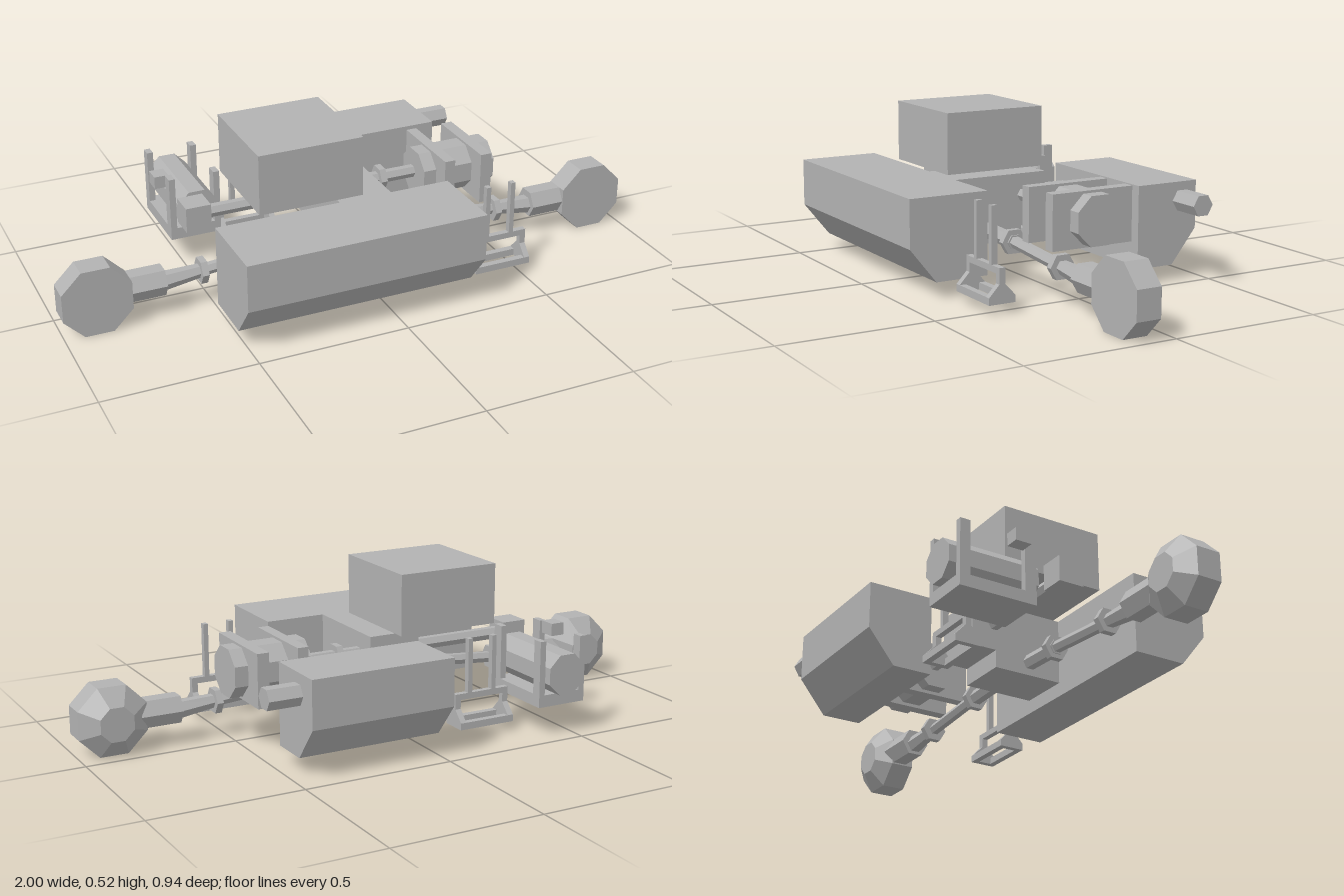
import * as THREE from 'three';

export function createModel() {
  const model = new THREE.Group();
  const grey = new THREE.MeshStandardMaterial({ color: 0xb2b2b2, flatShading: true });
  grey.name = 'plain grey';

  const add = (name, geometry, parent = model) => {
    const mesh = new THREE.Mesh(geometry, grey);
    mesh.name = name;
    parent.add(mesh);
    return mesh;
  };

  // box given by its limits on each axis
  const box = (name, [x0, x1], [y0, y1], [z0, z1], parent) => {
    const g = new THREE.BoxGeometry(x1 - x0, y1 - y0, z1 - z0);
    g.translate((x0 + x1) / 2, (y0 + y1) / 2, (z0 + z1) / 2);
    return add(name, g, parent);
  };

  // faceted rod between two points, with a radius at each end
  const rod = (name, a, b, ra, rb, sides, turn = 0, parent) => {
    const from = new THREE.Vector3(...a), to = new THREE.Vector3(...b);
    const dir = to.clone().sub(from);
    const g = new THREE.CylinderGeometry(rb, ra, dir.length(), sides);
    g.rotateY(turn);
    const mesh = add(name, g, parent);
    mesh.position.copy(from).add(to).multiplyScalar(0.5);
    mesh.quaternion.setFromUnitVectors(new THREE.Vector3(0, 1, 0), dir.normalize());
    return mesh;
  };
  const flat8 = Math.PI / 8;
  const oct = (apothem) => apothem / Math.cos(flat8);

  // side tanks: chamfered along the lower outer edge
  const tank = (name, x0, x1, side, inner) => {
    const pts = [[inner, 0.053], [0.38, 0.053], [0.47, 0.165], [0.47, 0.322], [inner, 0.322]];
    const shape = new THREE.Shape(pts.map(([z, y]) => new THREE.Vector2(-side * z, y)));
    const g = new THREE.ExtrudeGeometry(shape, { depth: x1 - x0, bevelEnabled: false });
    g.rotateY(Math.PI / 2);
    g.translate(x0, 0, 0);
    add(name, g);
  };
  tank('frontTank', -0.52, 0.285, 1, 0.2);
  tank('rearTank', -0.03, 0.46, -1, 0.247);
  rod('exhaustPipe', [0.475, 0.265, -0.405], [0.585, 0.265, -0.405], 0.037, 0.037, 6);

  // upper cabin and central gearbox
  box('cabin', [-0.365, -0.01], [0.322, 0.525], [-0.178, 0.18]);
  box('gearboxTop', [-0.1, 0.08], [0.16, 0.322], [-0.135, 0.2]);
  box('gearboxBase', [-0.1, 0.08], [0.1, 0.16], [-0.045, 0.2]);

  // octagonal motor held by two plates
  rod('motor', [0.285, 0.25, -0.042], [0.55, 0.25, -0.042], oct(0.079), oct(0.079), 8, flat8);
  for (const [x0, x1] of [[0.33, 0.367], [0.465, 0.505]])
    box('motorPlate', [x0, x1], [0.16, 0.337], [-0.19, 0.1]);

  // upper drive shaft
  rod('upperShaft', [-0.46, 0.25, -0.052], [0.285, 0.25, -0.052], 0.022, 0.022, 6);
  rod('upperShaftCollar', [0.15, 0.25, -0.052], [0.172, 0.25, -0.052], 0.043, 0.043, 6);
  box('shaftEndBlock', [-0.543, -0.458], [0.207, 0.293], [-0.097, -0.01]);

  // lower shaft halves, hubs and wheel pods
  for (const s of [-1, 1]) {
    const half = new THREE.Group();
    half.name = s > 0 ? 'leftAxle' : 'rightAxle';
    model.add(half);
    const z = 0.085;
    rod('innerShaft', [0, 0.15, z], [s * 0.26, 0.14, z], 0.026, 0.026, 6, 0, half);
    rod('middleShaft', [s * 0.24, 0.142, z], [s * 0.54, 0.118, z], 0.02, 0.02, 6, 0, half);
    rod('outerShaft', [s * 0.52, 0.12, z], [s * 0.67, 0.108, z], 0.022, 0.032, 6, 0, half);
    for (const [x, y] of [[0.245, 0.141], [0.53, 0.119]])
      rod('collar', [s * (x - 0.011), y, z], [s * (x + 0.011), y, z], 0.044, 0.044, 6, 0, half);
    rod('hub', [s * 0.66, 0.115, z], [s * 0.8, 0.115, z], 0.051, 0.051, 6, 0, half);
    const x = s * 0.888, y = 0.1125;
    rod('wheelPod', [x, y, 0.055], [x, y, 0.138], oct(0.1125), oct(0.1125), 8, flat8, half);
    rod('wheelPodTaper', [x, y, 0.012], [x, y, 0.055], oct(0.055), oct(0.1125), 8, flat8, half);
  }

  // boarding steps with a rail and two upright bars
  for (const [x, z] of [[0.43, 0.29], [-0.24, -0.293]]) {
    const step = new THREE.Group();
    step.name = 'step';
    step.position.set(x, 0, z);
    model.add(step);
    for (const s of [-1, 1]) {
      box('stepSide', [-0.1, 0.1], [0.03, 0.053], [s * 0.034 - 0.011, s * 0.034 + 0.011], step);
      box('stepEnd', [s * 0.09 - 0.01, s * 0.09 + 0.01], [0.03, 0.053], [-0.023, 0.023], step);
      // sloped end brackets
      const tri = new THREE.Shape([[-0.045, 0.053], [0.045, 0.053], [0.01, 0.09], [-0.01, 0.09]]
        .map((p) => new THREE.Vector2(...p)));
      const g = new THREE.ExtrudeGeometry(tri, { depth: 0.02, bevelEnabled: false });
      g.rotateY(Math.PI / 2);
      g.translate(s * 0.09 - 0.01, 0, 0);
      add('stepBracket', g, step);
      box('stepLeg', [s * 0.09 - 0.01, s * 0.09 + 0.01], [0.09, 0.14], [-0.01, 0.01], step);
      box('stepUpright', [s * 0.045 - 0.008, s * 0.045 + 0.008], [0.12, 0.32], [-0.01, 0.01], step);
    }
    box('stepRail', [-0.08, 0.08], [0.12, 0.14], [-0.01, 0.01], step);
  }

  // octagonal canister in a four-post cradle
  rod('canister', [-0.455, 0.207, -0.47], [-0.455, 0.207, -0.158], oct(0.066), oct(0.066), 8, flat8);
  box('cradleBase', [-0.542, -0.367], [0.1, 0.14], [-0.445, -0.18]);
  for (const [x0, x1] of [[-0.542, -0.521], [-0.388, -0.367]])
    for (const [z0, z1] of [[-0.445, -0.41], [-0.22, -0.18]])
      box('cradlePost', [x0, x1], [0.14, 0.32], [z0, z1]);
  box('cradleLatch', [-0.578, -0.53], [0.278, 0.32], [-0.275, -0.22]);

  return model;
}
